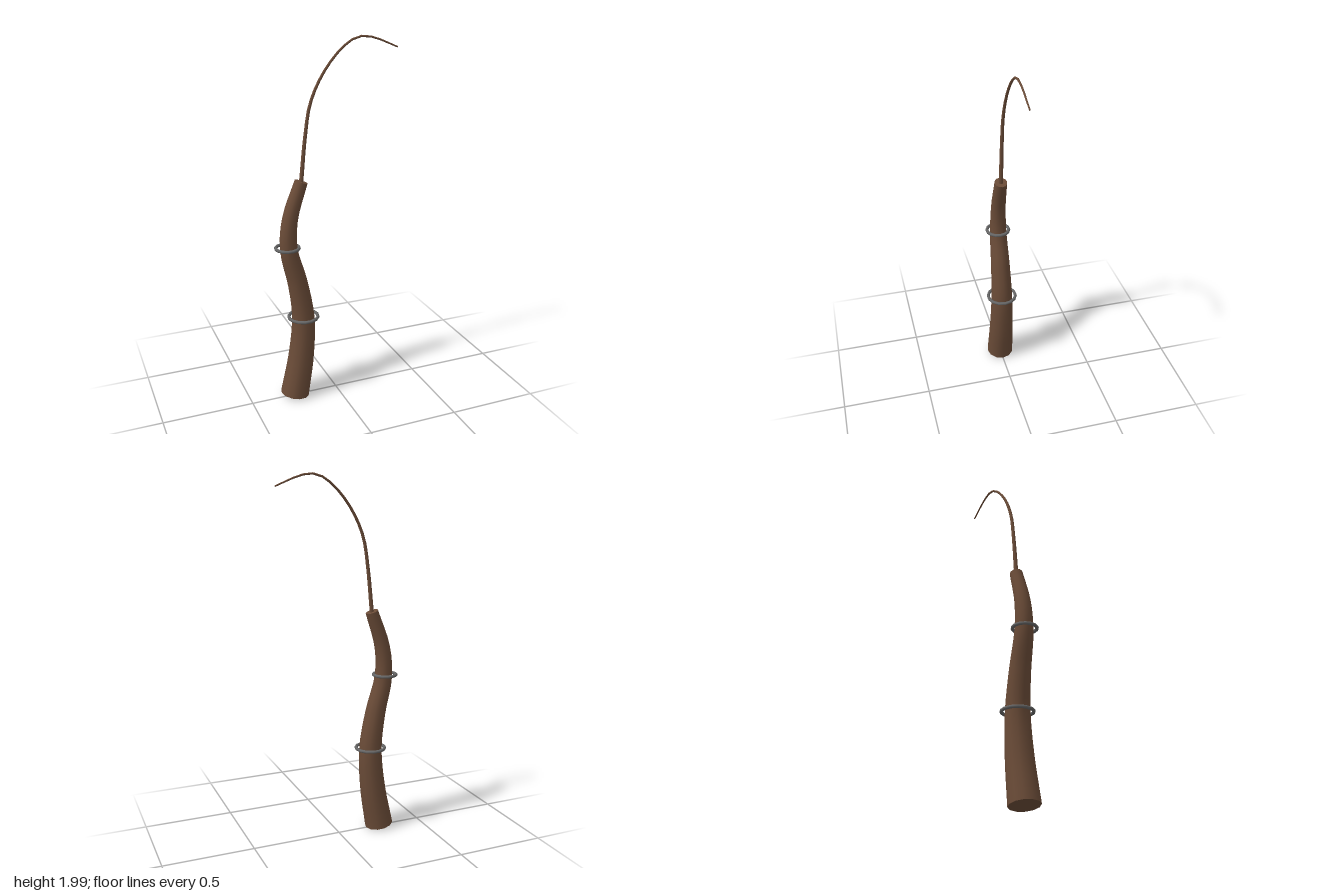
import * as THREE from 'three';
import { mergeGeometries } from 'three/addons/utils/BufferGeometryUtils.js';

// Round tube along a curve in the XY plane, tapering from r0 to r1, closed at both ends
function taperedTube(points, segments, sides, r0, r1) {
  const curve = new THREE.CatmullRomCurve3(points.map(([x, y]) => new THREE.Vector3(x, y, 0)));
  const tube = new THREE.TubeGeometry(curve, segments, 1, sides);
  const pos = tube.attributes.position;
  const v = new THREE.Vector3();
  for (let i = 0; i <= segments; i++) {
    const centre = curve.getPointAt(i / segments);
    const r = THREE.MathUtils.lerp(r0, r1, i / segments);
    for (let j = 0; j <= sides; j++) {
      const k = i * (sides + 1) + j;
      v.fromBufferAttribute(pos, k).sub(centre).multiplyScalar(r).add(centre);
      pos.setXYZ(k, v.x, v.y, v.z);
    }
  }
  // End caps: a fan over the first and last ring
  const cap = (i) => {
    const verts = [];
    const centre = curve.getPointAt(i / segments);
    const axis = curve.getTangentAt(i / segments).multiplyScalar(i === 0 ? -1 : 1);
    for (let j = 0; j < sides; j++) {
      const a = new THREE.Vector3().fromBufferAttribute(pos, i * (sides + 1) + j);
      const b = new THREE.Vector3().fromBufferAttribute(pos, i * (sides + 1) + j + 1);
      const facing = a.clone().sub(centre).cross(b.clone().sub(centre)).dot(axis) > 0;
      for (const p of facing ? [centre, a, b] : [centre, b, a]) verts.push(p.x, p.y, p.z);
    }
    const g = new THREE.BufferGeometry();
    g.setAttribute('position', new THREE.Float32BufferAttribute(verts, 3));
    g.computeVertexNormals();
    return g;
  };
  const body = tube.toNonIndexed();
  body.deleteAttribute('uv');
  return mergeGeometries([body, cap(0), cap(segments)]);
}

export function createModel() {
  const group = new THREE.Group();
  const wood = new THREE.MeshStandardMaterial({ color: 0x6b4c38 });
  const metal = new THREE.MeshStandardMaterial({ color: 0x666666 });
  const add = (name, geometry, material) => {
    const mesh = new THREE.Mesh(geometry, material);
    mesh.name = name;
    group.add(mesh);
    return mesh;
  };

  // Thick curved handle
  add('handle', taperedTube([
    [-0.25, 0.022], [-0.208, 0.26], [-0.193, 0.49], [-0.222, 0.7],
    [-0.268, 0.9], [-0.258, 1.07], [-0.193, 1.268],
  ], 24, 12, 0.08, 0.035), wood);

  // Thin whip bending over at the tip
  add('whip', taperedTube([
    [-0.193, 1.265], [-0.167, 1.51], [-0.14, 1.665], [-0.085, 1.79],
    [0, 1.905], [0.085, 1.975], [0.15, 1.993], [0.22, 1.98], [0.344, 1.93],
  ], 20, 8, 0.012, 0.004), wood);

  // Loose level rings around the handle
  for (const [name, x, y, radius] of [
    ['lowerRing', -0.192, 0.493, 0.081],
    ['upperRing', -0.276, 0.91, 0.063],
  ]) {
    const ring = add(name, new THREE.TorusGeometry(radius, 0.009, 8, 14), metal);
    ring.rotation.x = Math.PI / 2;
    ring.position.set(x, y, 0);
  }
  return group;
}
